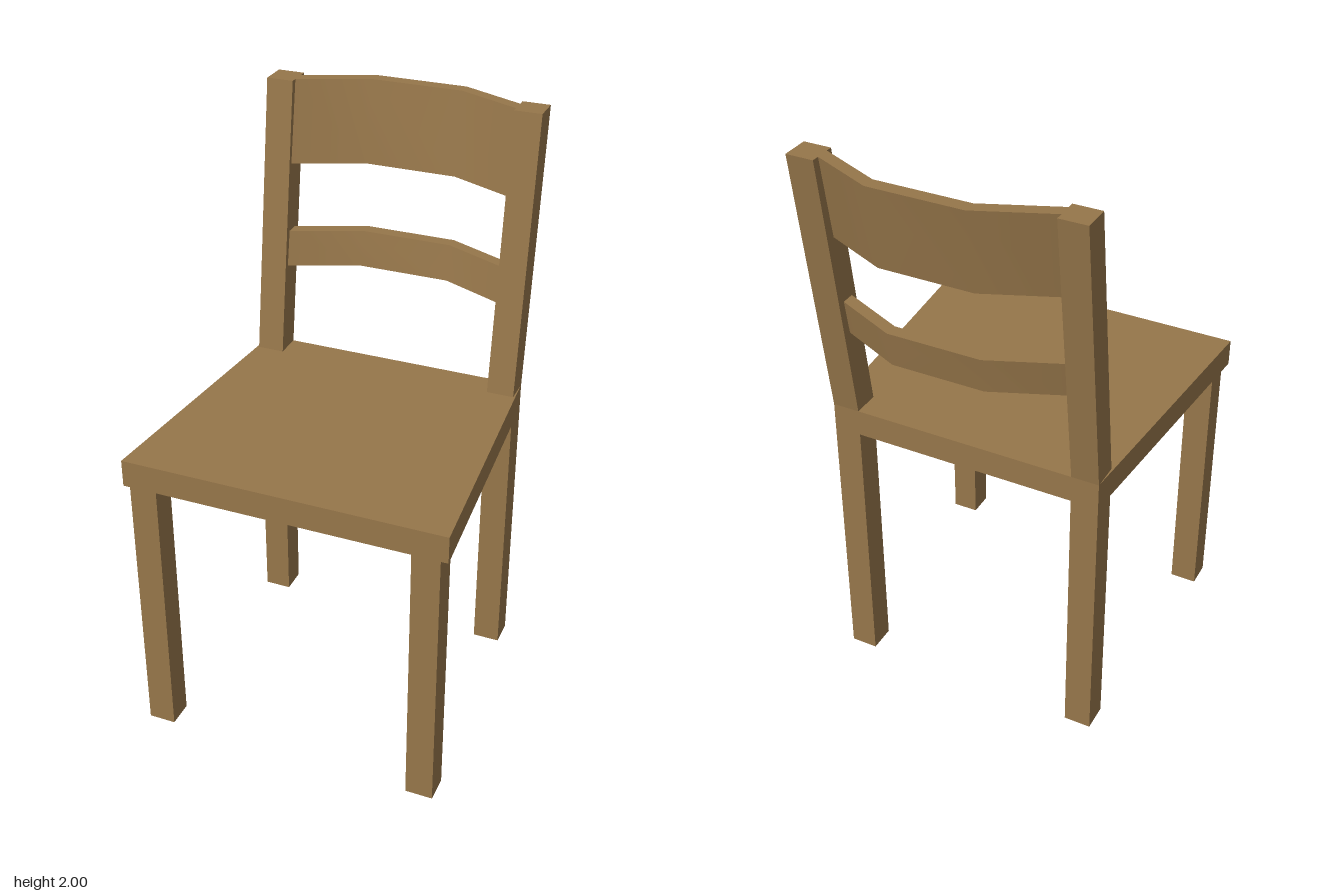
import * as THREE from 'three';

// Skin a run of four-cornered rings; corners run counterclockwise seen from the far end.
function loft(rings, { capStart = true, capEnd = true, smooth = false } = {}) {
  const pos = [], index = [];
  const quad = (a, b, c, d) => index.push(a, b, c, a, c, d);
  for (let k = 0; k < 4; k++) {
    // each side has its own vertices, so the long edges stay sharp
    const start = pos.length / 3;
    for (const r of rings) pos.push(...r[k], ...r[(k + 1) % 4]);
    for (let i = 0; i < rings.length - 1; i++) {
      const a = start + i * 2;
      quad(a, a + 1, a + 3, a + 2);
    }
  }
  const cap = (ring) => {
    const s = pos.length / 3;
    ring.forEach((p) => pos.push(...p));
    quad(s, s + 1, s + 2, s + 3);
  };
  if (capStart) cap([...rings[0]].reverse());
  if (capEnd) cap(rings[rings.length - 1]);
  let geo = new THREE.BufferGeometry();
  geo.setAttribute('position', new THREE.Float32BufferAttribute(pos, 3));
  geo.setIndex(index);
  if (!smooth) geo = geo.toNonIndexed();
  geo.computeVertexNormals();
  return geo;
}

// Horizontal ring at height y
const level = (y, x0, x1, zBack, zFront) =>
  [[x0, y, zFront], [x1, y, zFront], [x1, y, zBack], [x0, y, zBack]];

export function createModel() {
  const group = new THREE.Group();
  const wood = new THREE.MeshStandardMaterial({ color: 0x96764a, side: THREE.DoubleSide });
  wood.name = 'wood';
  const add = (name, geo) => {
    const mesh = new THREE.Mesh(geo, wood);
    mesh.name = name;
    group.add(mesh);
  };

  // Seat, narrowing towards the back
  const seatRing = (y) =>
    [[-0.547, y, 0.577], [0.547, y, 0.577], [0.475, y, -0.373], [-0.475, y, -0.373]];
  add('seat', loft([seatRing(0.957), seatRing(1.05)]));

  // Legs with open feet; each back leg carries on up as a leaning post
  for (const [side, s] of [['left', 1], ['right', -1]]) {
    const span = (a, b) => (s > 0 ? [a, b] : [-b, -a]);
    const front = span(0.43, 0.523), back = span(0.382, 0.475);
    add(side + 'FrontLeg', loft(
      [level(0, ...front, 0.486, 0.577), level(0.957, ...front, 0.486, 0.577)],
      { capStart: false }));
    add(side + 'BackLegAndPost', loft(
      [level(0, ...back, -0.373, -0.28), level(1.05, ...back, -0.373, -0.28),
        level(2, ...back, -0.507, -0.413)],
      { capStart: false }));
  }

  // Curved back slats: front-face z is given at the middle, the ends come forward
  const slat = (name, yTop, zTop, yBottom, zBottom) => {
    const rings = [[-0.382, 0.097], [-0.145, 0], [0.17, 0], [0.382, 0.097]].map(([x, bow]) => [
      [x, yTop, zTop + bow - 0.046], [x, yTop, zTop + bow],
      [x, yBottom, zBottom + bow], [x, yBottom, zBottom + bow - 0.046],
    ]);
    add(name, loft(rings, { smooth: true }));
  };
  slat('topSlat', 2, -0.532, 1.72, -0.486);
  slat('lowerSlat', 1.483, -0.459, 1.36, -0.438);

  return group;
}
